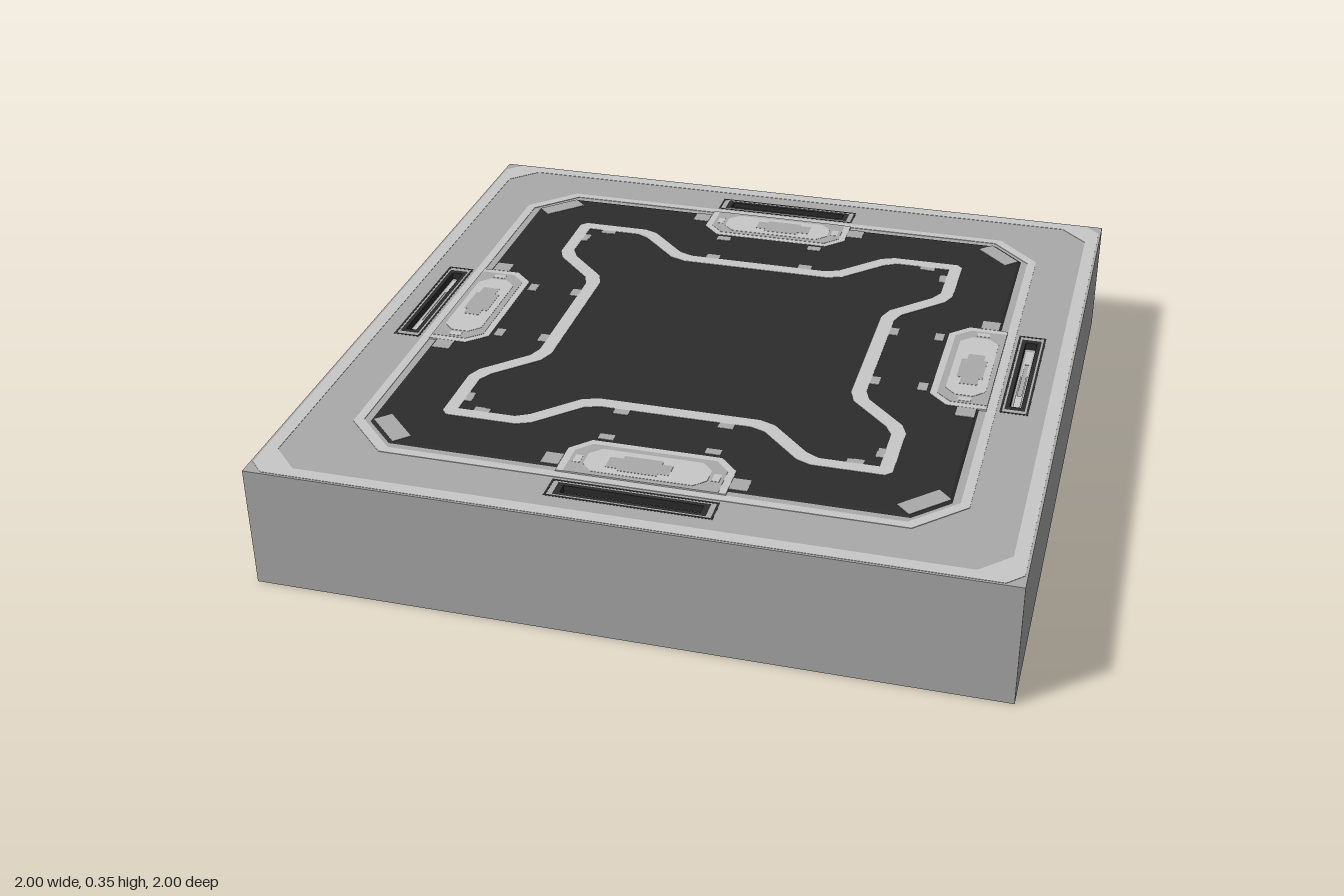
import * as THREE from 'three';

const material = (name, color) => {
  const m = new THREE.MeshStandardMaterial({ color });
  m.name = name;
  return m;
};

// Outline helpers work in plan: x to the right, y towards the back.
const rect = (x0, y0, x1, y1) => [[x0, y0], [x1, y0], [x1, y1], [x0, y1]];
const octagon = (x0, y0, x1, y1, c) => [
  [x0 + c, y0], [x1 - c, y0], [x1, y0 + c], [x1, y1 - c],
  [x1 - c, y1], [x0 + c, y1], [x0, y1 - c], [x0, y0 + c],
];
const square = (r, c) => octagon(-r, -r, r, r, c);

// Repeats one corner's outline four times around the centre.
function fourfold(corner) {
  const points = [];
  for (let k = 0; k < 4; k++) {
    for (const [x, y] of corner) {
      points.push([[x, y], [-y, x], [-x, -y], [y, -x]][k]);
    }
  }
  return points;
}

// Mirrors half a corner across its diagonal, ordered counterclockwise.
const cornerOutline = (half) => [...half, ...half.map(([x, y]) => [y, x]).reverse()];

function createModel() {
  const grey = material('mid grey', 0xaaaaaa);
  const light = material('light grey', 0xc8c8c8);
  const dark = material('charcoal', 0x2c2c2c);
  const model = new THREE.Group();
  model.name = 'floorTile';

  const vectors = (points) => points.map(([x, y]) => new THREE.Vector2(x, y));

  // Horizontal slab between two heights, with optional holes.
  function slab(parent, name, outline, y0, y1, mat, holes = []) {
    const shape = new THREE.Shape(vectors(outline));
    shape.holes = holes.map((h) => new THREE.Path(vectors(h)));
    const geometry = new THREE.ExtrudeGeometry(shape, { depth: y1 - y0, bevelEnabled: false });
    geometry.rotateX(-Math.PI / 2);
    const mesh = new THREE.Mesh(geometry, mat);
    mesh.name = name;
    mesh.position.y = y0;
    parent.add(mesh);
    return mesh;
  }

  const TOP = 0.346;

  // Block and its slotted top layer
  const base = new THREE.Mesh(new THREE.BoxGeometry(2, 0.325, 2), grey);
  base.name = 'base';
  base.position.y = 0.1625;
  model.add(base);
  const slot = rect(-0.2, 0.845, 0.2, 0.9);
  const turn = (points, k) => points.map(([x, y]) => [[x, y], [-y, x], [-x, -y], [y, -x]][k]);
  slab(model, 'topLayer', rect(-1, -1, 1, 1), 0.325, TOP, grey, [0, 1, 2, 3].map((k) => turn(slot, k)));

  // Light rim and the line around the panel
  slab(model, 'outerRim', square(0.993, 0.04), TOP, 0.347, light, [square(0.957, 0.012)]);
  slab(model, 'panelBorder', square(0.825, 0.125), TOP, 0.3475, light, [square(0.8, 0.115)]);

  // Raised dark panel with a sloping edge
  const panel = slab(model, 'darkPanel', square(0.78, 0.09), TOP, 0.35, dark);
  const pos = panel.geometry.attributes.position;
  for (let i = 0; i < pos.count; i++) {
    if (pos.getY(i) > 0.002) {
      pos.setX(i, pos.getX(i) * 0.99);
      pos.setZ(i, pos.getZ(i) * 0.99);
    }
  }
  panel.geometry.computeVertexNormals();

  // Light track with four lobes
  const outer = cornerOutline([[0.47, 0.21], [0.485, 0.25], [0.595, 0.36], [0.612, 0.4], [0.612, 0.595]]);
  const inner = cornerOutline([[0.43, 0.225], [0.447, 0.27], [0.555, 0.378], [0.575, 0.415], [0.575, 0.575]]);
  slab(model, 'track', fourfold(outer), 0.35, 0.3512, light, [fourfold(inner)]);

  // One side and one corner, repeated by quarter turns
  for (let k = 0; k < 4; k++) {
    const side = new THREE.Group();
    side.name = 'side' + (k + 1);
    side.rotation.y = k * Math.PI / 2;
    model.add(side);

    // Side plate in stepped layers
    const plate = [[-0.225, 0.8], [-0.225, 0.69], [-0.175, 0.638], [0.175, 0.638], [0.225, 0.69], [0.225, 0.8]];
    const face = [[-0.205, 0.8], [-0.205, 0.698], [-0.167, 0.657], [0.167, 0.657], [0.205, 0.698], [0.205, 0.8]];
    slab(side, 'plateEdge', plate, TOP, 0.351, light);
    slab(side, 'plateFace', face, 0.351, 0.3518, grey);
    slab(side, 'platePad', octagon(-0.165, 0.675, 0.165, 0.785, 0.03), 0.3518, 0.3526, light);
    slab(side, 'padInset', [[-0.065, 0.71], [-0.035, 0.71], [-0.035, 0.695], [0.07, 0.695], [0.07, 0.708],
      [0.105, 0.708], [0.105, 0.757], [0.07, 0.757], [0.07, 0.767], [-0.035, 0.767], [-0.035, 0.757], [-0.065, 0.757]],
    0.3526, 0.3532, grey);

    // Recessed slot
    slab(side, 'slotOutline', rect(-0.22, 0.834, 0.22, 0.911), TOP, 0.3466, dark, [rect(-0.214, 0.84, 0.214, 0.905)]);
    slab(side, 'slotLining', slot, 0.325, TOP, dark, [rect(-0.183, 0.857, 0.183, 0.888)]);
    slab(side, 'slotStrip', rect(-0.165, 0.863, 0.165, 0.882), 0.325, 0.327, light, [rect(-0.09, 0.867, 0.09, 0.882 - 0.004)]);

    // Small tabs on both sides of the plate and track
    for (const s of [-1, 1]) {
      const tab = (name, x, y, w, h, mat = grey, top = 0.3512) => slab(side, name,
        rect(s * x - w / 2, y - h / 2, s * x + w / 2, y + h / 2), 0.35, top, mat);
      tab('plateClip', 0.185, 0.735, 0.02, 0.035, light, 0.3526);
      tab('plateTab', 0.25, 0.748, 0.048, 0.052);
      tab('outerTab', 0.145, 0.614, 0.042, 0.026);
      tab('trackTab', 0.145, 0.482, 0.042, 0.026);
      tab('lobeTab', 0.5, 0.567, 0.025, 0.02);
      tab('lobeSideTab', 0.565, 0.518, 0.02, 0.028);
    }

    // Corner marker and corner triangle
    const bar = slab(side, 'cornerMarker', rect(-0.065, -0.026, 0.065, 0.026), 0, 0.0012, grey);
    bar.position.set(0.708, 0.35, -0.712);
    bar.rotation.y = -Math.PI / 4;
    slab(side, 'cornerTriangle', [[0.957, 0.88], [0.957, 0.957], [0.88, 0.957]], TOP, 0.347, light);
  }
  return model;
}

export { createModel };
